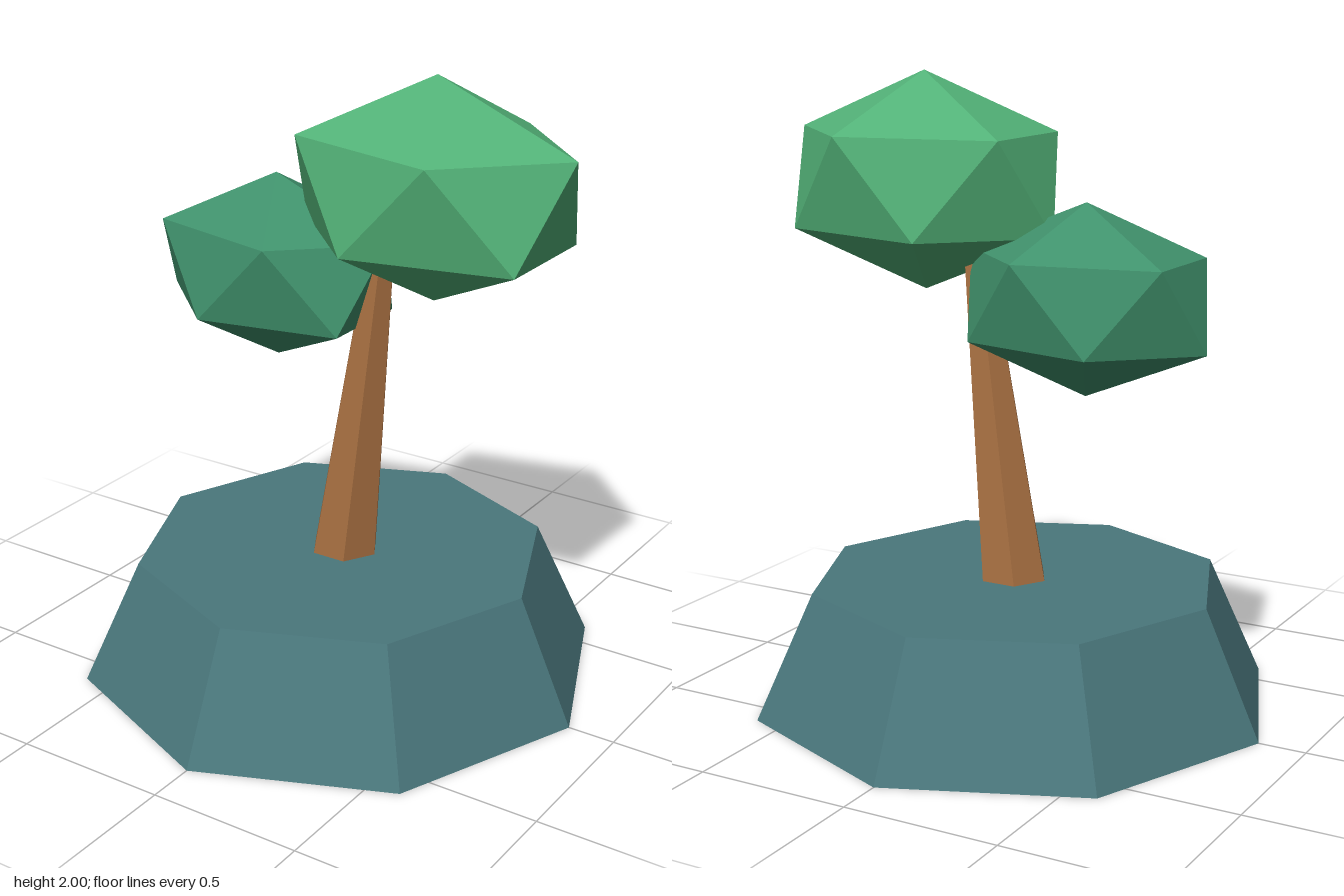
import * as THREE from 'three';

function part(name, geometry, color) {
  const mesh = new THREE.Mesh(geometry, new THREE.MeshStandardMaterial({ color, flatShading: true }));
  mesh.name = name;
  return mesh;
}

// Icosahedron turned to stand on a vertex, then stretched into a leaf clump
function leafClump(name, x, y, rx, ry, rz, color) {
  const g = new THREE.IcosahedronGeometry(1, 0);
  g.rotateZ(-Math.atan(2 / (1 + Math.sqrt(5))));
  g.scale(rx, ry, rz);
  g.computeVertexNormals();
  const mesh = part(name, g, color);
  mesh.position.set(x, y, 0);
  return mesh;
}

export function createModel() {
  const group = new THREE.Group();
  group.name = 'tree';

  // Eight-sided tapered ground block
  const base = part('base', new THREE.CylinderGeometry(0.664, 0.847, 0.4, 8), 0x4a777c);
  base.position.y = 0.2;
  group.add(base);

  // Leaning six-sided trunk, sunk slightly into the base and the leaves
  const trunk = part('trunk', new THREE.CylinderGeometry(0.042, 0.115, 1.14, 6).rotateY(Math.PI / 6), 0xa97142);
  trunk.position.set(0.078, 0.925, 0);
  trunk.rotation.z = -0.124;
  group.add(trunk);

  // Upper and lower foliage
  group.add(leafClump('upperFoliage', 0.33, 1.655, 0.514, 0.345, 0.361, 0x52b177));
  group.add(leafClump('lowerFoliage', -0.243, 1.32, 0.453, 0.3, 0.302, 0x40916c));

  return group;
}
